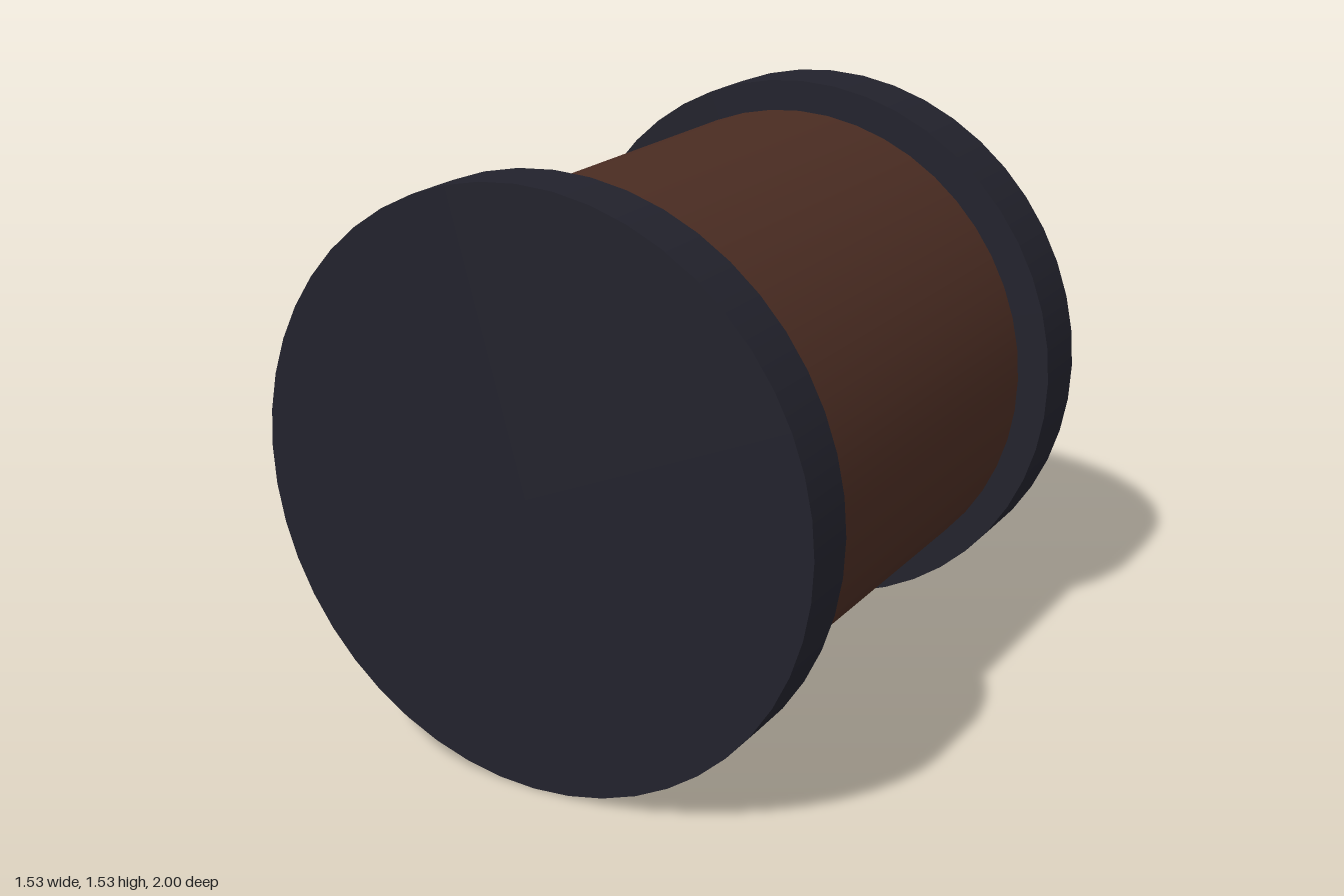
import * as THREE from 'three';

const AXIS_Y = 0.767;

// Capped cylinder lying along z, from zBack to zFront
function zCylinder(name, radius, zBack, zFront, segments, material, x = 0) {
  const geometry = new THREE.CylinderGeometry(radius, radius, zFront - zBack, segments);
  geometry.rotateX(Math.PI / 2);
  const mesh = new THREE.Mesh(geometry, material);
  mesh.name = name;
  mesh.position.set(x, AXIS_Y, (zBack + zFront) / 2);
  return mesh;
}

function flat(name, color) {
  const material = new THREE.MeshStandardMaterial({ color });
  material.name = name;
  return material;
}

export function createModel() {
  const plastic = flat('dark plastic', 0x22222c);
  const copper = flat('brown winding', 0x4a2c22);
  const steel = flat('steel', 0x9a9aa2);

  const model = new THREE.Group();
  model.name = 'coil';

  // End flanges and the winding; a narrow gap separates winding and rear flange
  model.add(zCylinder('frontFlange', AXIS_Y, 0.84, 1.0, 48, plastic));
  model.add(zCylinder('winding', 0.685, -0.4, 0.84, 48, copper));
  model.add(zCylinder('rearFlange', AXIS_Y, -0.6, -0.415, 48, plastic));

  // Pair of terminal pins
  for (const side of [1, -1]) {
    const name = side > 0 ? 'leftPin' : 'rightPin';
    model.add(zCylinder(name, 0.052, -1.0, -0.6, 24, steel, side * 0.333));
  }
  return model;
}
